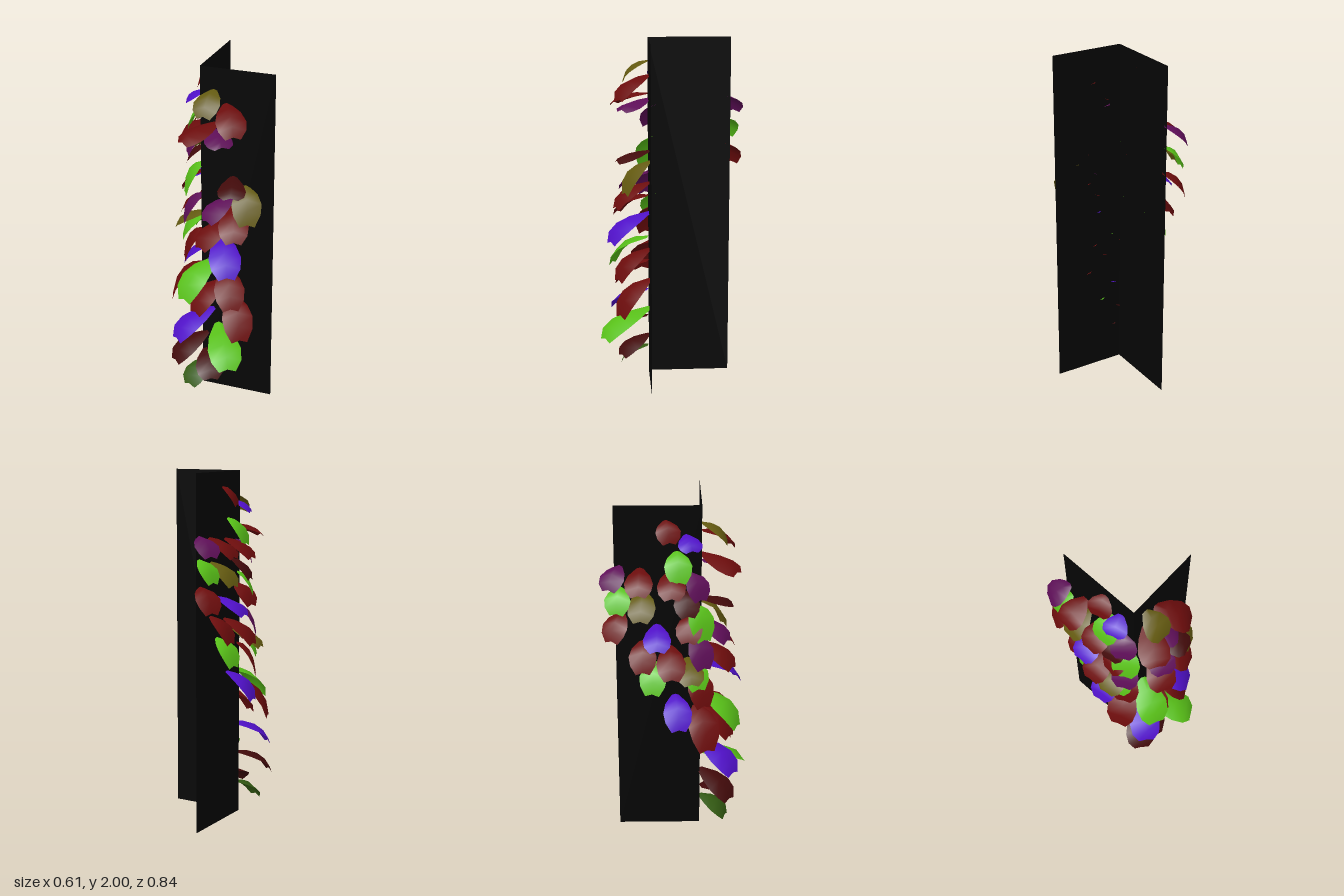
import * as THREE from 'three';

const COLORS = {
  r: 0x6c0c0c, d: 0x420a0a, g: 0x58c018, f: 0x335a12,
  b: 0x5010c8, o: 0x645a10, m: 0x5e0e58,
};
const material = (color) => new THREE.MeshStandardMaterial({ color, side: THREE.DoubleSide });
const mats = Object.fromEntries(Object.entries(COLORS).map(([k, c]) => [k, material(c)]));

// Corner of the two wall panels
const CX = -0.12, CZ = 0.135;

// Each leaf: position along wall, stem height, sideways lean, droop, reach from wall
const FRONT_COLORS = 'orrmdomrrbgrrrbgddf';
const FRONT = [
  [-0.04, 1.88, -0.01, 0.11, 0.14], [0.03, 1.81, 0.10, 0.12, 0.17], [-0.02, 1.70, -0.13, 0.07, 0.19],
  [-0.06, 1.665, 0.12, 0.05, 0.15], [0.07, 1.39, 0.05, 0.05, 0.18], [0.14, 1.345, 0.06, 0.17, 0.14],
  [0.06, 1.265, -0.09, 0.10, 0.15], [0.07, 1.21, 0.07, 0.13, 0.19], [0.05, 1.13, -0.11, 0.12, 0.18],
  [0.0, 1.02, 0.11, 0.15, 0.22], [-0.05, 0.86, -0.10, 0.18, 0.21], [0.03, 0.81, 0.09, 0.16, 0.18],
  [0.01, 0.735, -0.11, 0.15, 0.17], [0.07, 0.64, 0.10, 0.19, 0.17], [-0.05, 0.54, -0.16, 0.14, 0.19],
  [-0.02, 0.44, 0.15, 0.14, 0.26], [-0.09, 0.365, -0.14, 0.13, 0.17], [-0.10, 0.245, 0.09, 0.10, 0.16],
  [-0.09, 0.18, -0.06, 0.11, 0.15],
];
const SIDE_COLORS = 'mgrrobrrgbrbgrmdgrmogrr';
const SIDE = [
  [-0.31, 1.665, -0.06, 0.10, 0.11], [-0.31, 1.54, -0.02, 0.12, 0.10], [-0.30, 1.39, -0.06, 0.13, 0.11],
  [-0.20, 1.65, -0.01, 0.10, 0.16], [-0.18, 1.515, -0.02, 0.12, 0.15], [-0.11, 1.315, 0.0, 0.09, 0.17],
  [-0.19, 1.215, 0.0, 0.14, 0.13], [-0.04, 1.185, 0.01, 0.13, 0.18], [-0.12, 1.085, -0.02, 0.15, 0.12],
  [-0.01, 0.875, 0.02, 0.15, 0.16], [-0.06, 1.92, 0.02, 0.10, 0.08], [0.05, 1.84, 0.03, 0.06, 0.10],
  [0.0, 1.745, 0.01, 0.14, 0.11], [-0.03, 1.635, 0.0, 0.10, 0.17], [0.08, 1.62, 0.05, 0.13, 0.08],
  [0.04, 1.515, 0.02, 0.11, 0.11], [0.10, 1.435, 0.05, 0.18, 0.09], [0.08, 1.375, -0.02, 0.12, 0.12],
  [0.10, 1.245, 0.05, 0.16, 0.10], [0.06, 1.11, 0.02, 0.09, 0.17], [0.07, 1.105, 0.05, 0.14, 0.12],
  [0.10, 1.025, 0.05, 0.18, 0.10], [0.11, 0.81, 0.06, 0.21, 0.17],
];

// Arched leaf with a raised midrib: rows of left edge, rib, right edge
function leafGeometry(start, dir, droop) {
  const halfWidths = [0.02, 0.062, 0.08, 0.072, 0.04];
  const scale = 0.65 + 1.7 * Math.hypot(dir.length(), droop);
  const up = new THREE.Vector3(0, 1, 0);
  const across = new THREE.Vector3().crossVectors(up, dir).normalize();
  const positions = [], index = [];
  halfWidths.forEach((half, i) => {
    const t = i / (halfWidths.length - 1), w = half * scale;
    const rib = start.clone().addScaledVector(dir, Math.sin(t * 1.4) / Math.sin(1.4));
    rib.y -= droop * t ** 2;
    for (const s of [-1, 0, 1]) {
      const p = rib.clone().addScaledVector(across, s * w);
      p.y -= Math.abs(s) * w * 0.35;
      positions.push(p.x, p.y, p.z);
    }
    if (i === 0) return;
    for (const c of [0, 1]) {
      const a = (i - 1) * 3 + c, b = a + 3;
      index.push(a, b, a + 1, a + 1, b, b + 1);
    }
  });
  const g = new THREE.BufferGeometry();
  g.setAttribute('position', new THREE.Float32BufferAttribute(positions, 3));
  g.setIndex(index);
  g.computeVertexNormals();
  return g;
}

// A wall's leaves; place(u, out) maps wall coordinates to x and z
function leafGroup(name, rows, colors, place) {
  const group = new THREE.Group();
  group.name = name;
  rows.forEach(([u, y, lean, droop, reach], i) => {
    const start = place(u, 0.002).setY(y);
    const dir = place(u + lean, reach).sub(place(u, 0));
    const leaf = new THREE.Mesh(leafGeometry(start, dir, droop), mats[colors[i]]);
    leaf.name = 'leaf';
    group.add(leaf);
  });
  return group;
}

export function createModel() {
  const model = new THREE.Group();
  model.name = 'leafyCorner';

  // Two dark panels meeting at a right angle
  const dark = material(0x050505);
  const front = new THREE.Mesh(new THREE.PlaneGeometry(0.425, 2), dark);
  front.name = 'frontPanel';
  front.position.set(CX + 0.2125, 1, CZ);
  const side = new THREE.Mesh(new THREE.PlaneGeometry(0.475, 2), dark);
  side.name = 'sidePanel';
  side.rotation.y = -Math.PI / 2;
  side.position.set(CX, 1, CZ - 0.2375);
  model.add(front, side);

  // Leaves hanging on the outer faces
  model.add(leafGroup('frontLeaves', FRONT, FRONT_COLORS, (u, out) => new THREE.Vector3(u, 0, CZ + out)));
  model.add(leafGroup('sideLeaves', SIDE, SIDE_COLORS, (u, out) => new THREE.Vector3(CX - out, 0, u)));
  return model;
}
